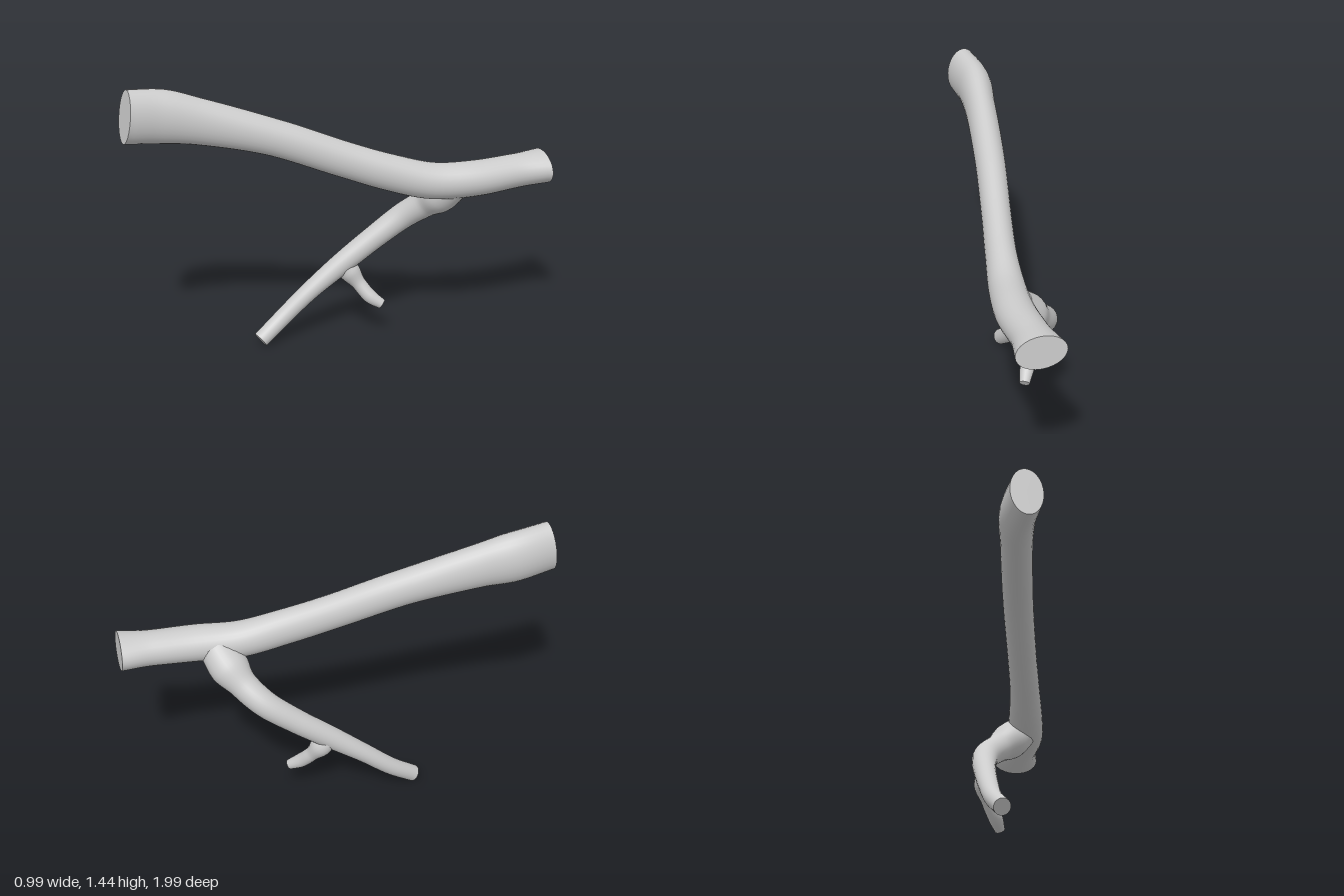
import * as THREE from 'three';

const material = new THREE.MeshStandardMaterial({ color: 0xcccccc });

// Sweeps an ellipse along a smooth path and closes both ends with flat caps.
// Each station is [x, y, z, side radius, upright radius].
function limb(name, stations, steps, sides = 28) {
  const path = new THREE.CatmullRomCurve3(stations.map(s => new THREE.Vector3(s[0], s[1], s[2])));
  const radii = new THREE.CatmullRomCurve3(stations.map(s => new THREE.Vector3(s[3], s[4], 0)));
  const up = new THREE.Vector3(0, 1, 0);
  const positions = [], index = [], rings = [];

  for (let i = 0; i <= steps; i++) {
    const t = i / steps;
    const centre = path.getPoint(t), r = radii.getPoint(t), tangent = path.getTangent(t);
    const side = new THREE.Vector3().crossVectors(up, tangent).normalize();
    const upright = new THREE.Vector3().crossVectors(tangent, side);
    const ring = [];
    for (let j = 0; j < sides; j++) {
      const a = (j / sides) * Math.PI * 2;
      const p = centre.clone()
        .addScaledVector(side, Math.cos(a) * r.x)
        .addScaledVector(upright, Math.sin(a) * r.y);
      ring.push(p);
      positions.push(p.x, p.y, p.z);
    }
    rings.push({ centre, ring });
  }

  // Bark surface
  for (let i = 0; i < steps; i++) {
    for (let j = 0; j < sides; j++) {
      const k = (j + 1) % sides;
      const a = i * sides + j, b = i * sides + k;
      const c = a + sides, d = b + sides;
      index.push(a, b, d, a, d, c);
    }
  }

  // Cut ends, with their own vertices so the rims stay sharp
  for (const [{ centre, ring }, last] of [[rings[0], false], [rings[steps], true]]) {
    const base = positions.length / 3;
    positions.push(centre.x, centre.y, centre.z);
    ring.forEach(p => positions.push(p.x, p.y, p.z));
    for (let j = 0; j < sides; j++) {
      const a = base + 1 + j, b = base + 1 + ((j + 1) % sides);
      if (last) index.push(base, a, b);
      else index.push(base, b, a);
    }
  }

  const geometry = new THREE.BufferGeometry();
  geometry.setAttribute('position', new THREE.Float32BufferAttribute(positions, 3));
  geometry.setIndex(index);
  geometry.computeVertexNormals();
  const mesh = new THREE.Mesh(geometry, material);
  mesh.name = name;
  return mesh;
}

export function createModel() {
  const model = new THREE.Group();
  model.name = 'forkedBranch';

  // Thick limb, from the cut back end to the swollen front end
  model.add(limb('mainLimb', [
    [0.375, 0.89, -0.96, 0.123, 0.083],
    [0.33, 0.88, -0.8, 0.095, 0.085],
    [0.275, 0.87, -0.6, 0.095, 0.09],
    [0.19, 0.875, -0.4, 0.088, 0.092],
    [0.095, 0.935, -0.2, 0.076, 0.092],
    [-0.01, 1.015, 0, 0.073, 0.09],
    [-0.165, 1.145, 0.3, 0.075, 0.092],
    [-0.32, 1.25, 0.63, 0.078, 0.115],
    [-0.39, 1.29, 0.8, 0.086, 0.134],
    [-0.42, 1.312, 0.97, 0.08, 0.132],
  ], 60));

  // Thinner side branch, flared where it leaves the limb
  model.add(limb('sideBranch', [
    [0.22, 0.85, -0.52, 0.085, 0.085],
    [0.14, 0.77, -0.49, 0.1, 0.095],
    [0.06, 0.7, -0.455, 0.072, 0.072],
    [-0.03, 0.62, -0.39, 0.067, 0.067],
    [-0.1, 0.51, -0.26, 0.061, 0.061],
    [-0.16, 0.385, -0.1, 0.055, 0.057],
    [-0.215, 0.25, 0.07, 0.049, 0.047],
    [-0.25, 0.13, 0.21, 0.044, 0.044],
    [-0.26, 0.035, 0.34, 0.042, 0.042],
  ], 54));

  // Short twig, flared at its foot
  model.add(limb('twig', [
    [-0.162, 0.39, -0.1, 0.045, 0.045],
    [-0.145, 0.335, -0.135, 0.055, 0.055],
    [-0.11, 0.27, -0.17, 0.037, 0.037],
    [-0.06, 0.205, -0.205, 0.036, 0.036],
    [-0.017, 0.165, -0.25, 0.026, 0.026],
  ], 28, 20));

  return model;
}
